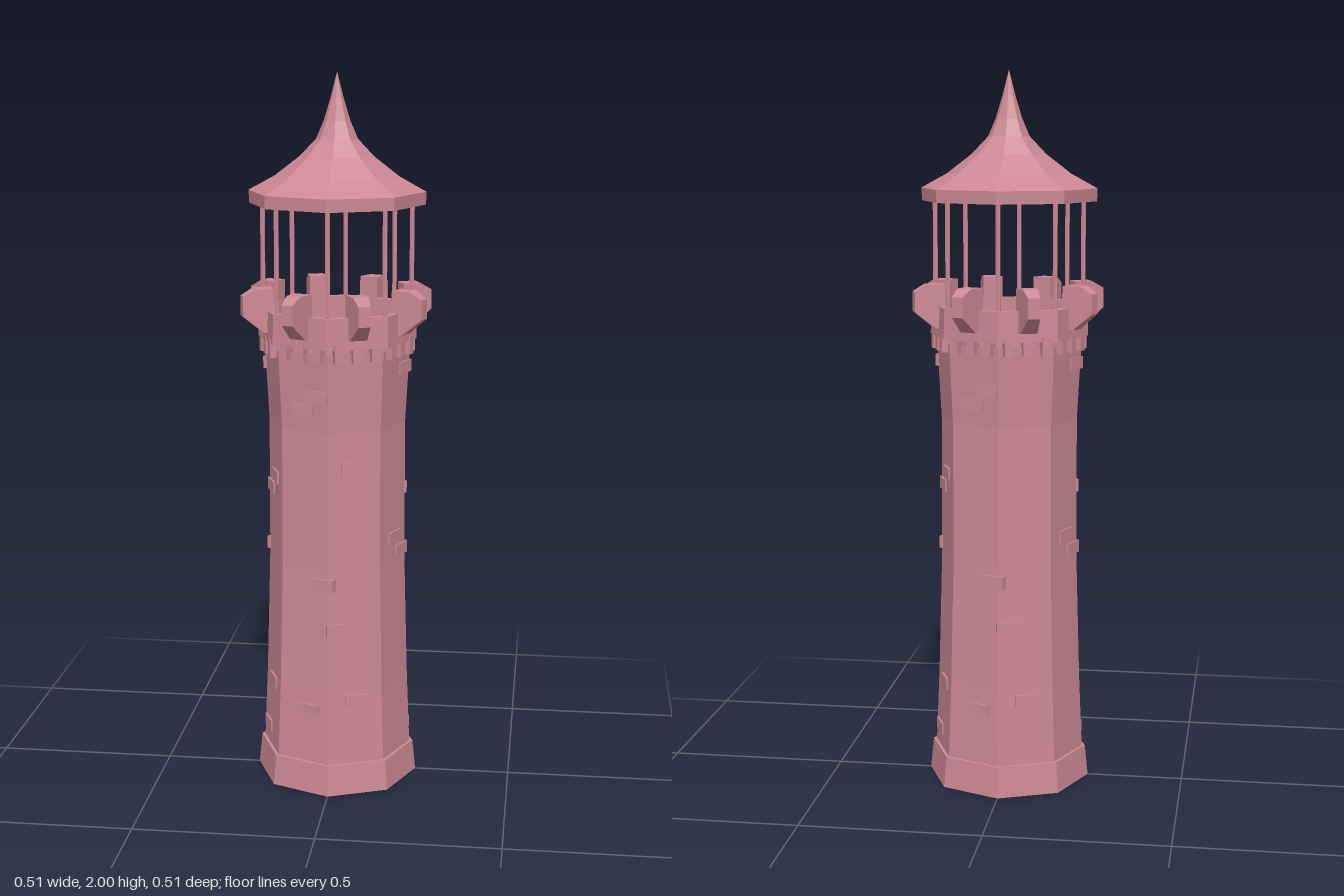
import * as THREE from 'three';

const SIDES = 8, STEP = Math.PI / 4;
const stone = new THREE.MeshStandardMaterial({ color: 0xcc8893, flatShading: true, side: THREE.DoubleSide });

const add = (parent, name, geometry) => {
  const mesh = new THREE.Mesh(geometry, stone);
  mesh.name = name;
  parent.add(mesh);
  return mesh;
};

// Octagonal solid of revolution with corners on the x and z axes
const octagon = (profile) =>
  new THREE.LatheGeometry(profile.map(([r, y]) => new THREE.Vector2(r, y)), SIDES);

// Tower wall: corner radius and height
const WALL = [[0.212, 0.085], [0.203, 0.3], [0.193, 0.65], [0.192, 1.04], [0.204, 1.26]];
function wallApothem(y) {
  for (let i = 1; i < WALL.length; i++) {
    const [r0, y0] = WALL[i - 1], [r1, y1] = WALL[i];
    if (y <= y1) return THREE.MathUtils.mapLinear(y, y0, y1, r0, r1) * Math.cos(STEP / 2);
  }
  return 0.19;
}

// Half of the raised bricks (x, y, z); the others are turned by 180 degrees
const BRICKS = [
  [0.06, 0.94, 0.16], [0.02, 0.48, 0.175], [0.07, 0.27, 0.16], [0.16, 0.72, 0.06],
  [0.175, 0.675, 0.02], [0.18, 1.2, 0.02], [0.155, 0.89, -0.065], [0.175, 0.85, -0.025],
  [0.01, 0.61, -0.17], [0.155, 0.285, -0.07], [0.185, 0.14, -0.04], [0.05, 0.24, -0.16],
  [0.07, 1.1, -0.15], [0.03, 1.14, -0.18],
];

// Merlon: side profile (radius, height) extruded, narrowing outwards
function merlonGeometry() {
  const shape = new THREE.Shape([
    [0.185, 1.30], [0.215, 1.30], [0.27, 1.345], [0.27, 1.4], [0.235, 1.42], [0.185, 1.42],
  ].map(([r, y]) => new THREE.Vector2(r, y)));
  const geo = new THREE.ExtrudeGeometry(shape, { depth: 1, bevelEnabled: false }).translate(0, 0, -0.5);
  const p = geo.attributes.position;
  for (let i = 0; i < p.count; i++) {
    p.setZ(i, p.getZ(i) * THREE.MathUtils.mapLinear(p.getX(i), 0.2, 0.27, 0.052, 0.033));
  }
  geo.rotateY(-Math.PI / 2); // radius now runs along +z
  geo.computeVertexNormals();
  return geo;
}

export function createModel() {
  const model = new THREE.Group();
  model.name = 'tower';

  // Shaft and plinth, open underneath
  add(model, 'plinth', octagon([[0.23, 0], [0.221, 0.087], [0.205, 0.087]]));
  add(model, 'towerWall', octagon(WALL));

  // Raised bricks
  const bricks = new THREE.Group();
  bricks.name = 'bricks';
  model.add(bricks);
  const brickGeo = new THREE.BoxGeometry(0.066, 0.034, 0.024);
  for (const [x, y, z] of BRICKS) {
    const face = (Math.floor(Math.atan2(x, z) / STEP) + 0.5) * STEP;
    const along = x * Math.cos(face) - z * Math.sin(face);
    for (const turn of [0, Math.PI]) {
      const a = face + turn, out = wallApothem(y) - 0.007;
      const brick = add(bricks, 'brick', brickGeo);
      brick.position.set(
        Math.sin(a) * out + Math.cos(a) * along, y, Math.cos(a) * out - Math.sin(a) * along);
      brick.rotation.y = a;
    }
  }

  // Parapet with an inner wall, and the lookout floor
  add(model, 'parapet', octagon([
    [0.2, 1.275], [0.222, 1.275], [0.22, 1.36], [0.196, 1.36], [0.196, 1.275],
  ]));
  add(model, 'lookoutFloor', octagon([[0.2, 1.28], [0, 1.28]]));

  // Corbels and merlons on each face, a post on each corner
  const merlon = merlonGeometry();
  const corbelGeo = new THREE.BoxGeometry(0.024, 0.05, 0.03);
  const postGeo = new THREE.CylinderGeometry(0.007, 0.007, 0.32, 6);
  for (let i = 0; i < SIDES; i++) {
    const side = new THREE.Group();
    side.name = 'parapetSide';
    side.rotation.y = (i + 0.5) * STEP;
    model.add(side);
    add(side, 'merlon', merlon);
    for (const x of [-0.052, 0, 0.052]) {
      add(side, 'corbel', corbelGeo).position.set(x, 1.262, 0.192);
    }
    add(model, 'post', postGeo).position.set(
      Math.sin(i * STEP) * 0.207, 1.515, Math.cos(i * STEP) * 0.207);
  }

  // Flared spire roof with a thick eave and hollow underside
  add(model, 'roof', octagon([
    [0, 1.81], [0.045, 1.8], [0.095, 1.757], [0.165, 1.704], [0.228, 1.668], [0.228, 1.645],
    [0.244, 1.645], [0.245, 1.68], [0.172, 1.72], [0.103, 1.773], [0.058, 1.82],
    [0.037, 1.868], [0.018, 1.93], [0, 2],
  ]));

  return model;
}
